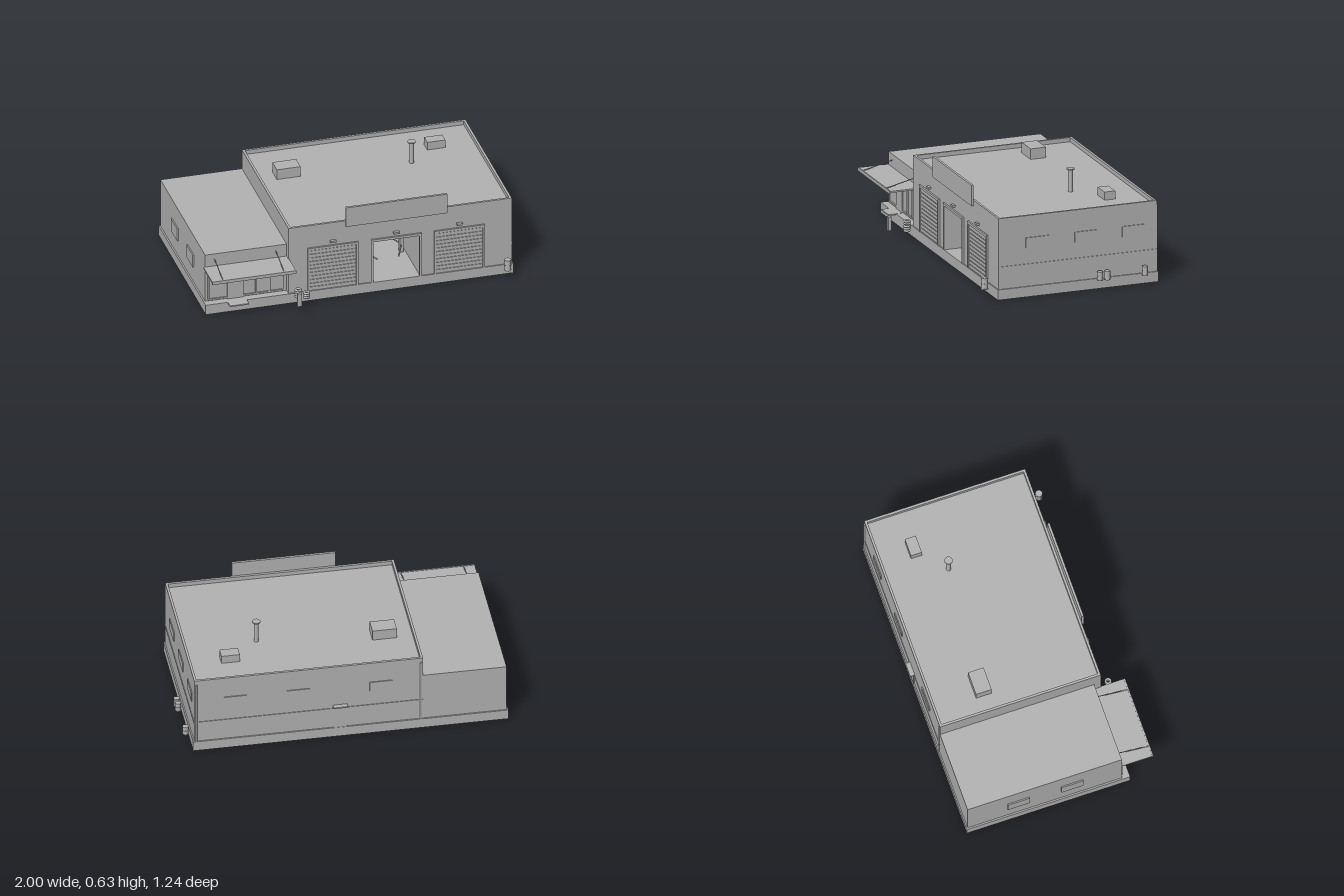
import * as THREE from 'three';

export function createModel() {
  const g = new THREE.Group();
  const grey = new THREE.MeshStandardMaterial({ color: 0xb3b3b3 });
  grey.name = 'plain grey';

  const add = (name, geo) => {
    const m = new THREE.Mesh(geo, grey);
    m.name = name;
    g.add(m);
    return m;
  };
  // box given by its limits on each axis
  const box = (name, x0, x1, y0, y1, z0, z1) => {
    const m = add(name, new THREE.BoxGeometry(x1 - x0, y1 - y0, z1 - z0));
    m.position.set((x0 + x1) / 2, (y0 + y1) / 2, (z0 + z1) / 2);
    return m;
  };
  const cyl = (name, x, z, r, y0, y1, n = 20) => {
    const m = add(name, new THREE.CylinderGeometry(r, r, y1 - y0, n));
    m.position.set(x, (y0 + y1) / 2, z);
    return m;
  };
  const bar = (name, a, b, r) => {
    const path = new THREE.LineCurve3(new THREE.Vector3(...a), new THREE.Vector3(...b));
    return add(name, new THREE.TubeGeometry(path, 1, r, 6));
  };

  // plinth
  box('plinth', -1, 0.945, 0, 0.065, -0.6, 0.45);

  // garage hall: solid sides around one open bay
  const L = -0.475, R = 0.937, back = -0.592, front = 0.443, roof = 0.488, top = 0.515;
  box('hallLeft', L, 0.055, 0.065, roof, back, front);
  box('hallRight', 0.355, R, 0.065, roof, back, front);
  box('hallBack', 0.055, 0.355, 0.065, roof, back, -0.35);
  box('hallAboveBay', 0.055, 0.355, 0.35, roof, -0.35, front);

  // parapet
  const t = 0.015;
  box('parapetFront', L, R, roof, top, front - t, front);
  box('parapetBack', L, R, roof, top, back, back + t);
  box('parapetLeft', L, L + t, roof, top, back + t, front - t);
  box('parapetRight', R - t, R, roof, top, back + t, front - t);

  // bay frames, lamps and roller doors
  [-0.195, 0.205, 0.605].forEach((x, i) => {
    const f = 0.014;
    box('bayFrameTop', x - 0.16, x + 0.16, 0.36 - f, 0.362, front, 0.454);
    for (const s of [-1, 1]) {
      const c = x + s * (0.16 - f / 2);
      box('bayFrameSide', c - f / 2, c + f / 2, 0.065, 0.36 - f, front, 0.454);
    }
    box('bayLamp', x - 0.018, x + 0.018, 0.384, 0.396, front, 0.462);
    if (i === 1) return;
    for (let k = 0; k < 11; k++) {
      const y = 0.07 + k * 0.025;
      box('doorSlat', x - 0.146, x + 0.146, y, y + 0.021, front, 0.447);
    }
  });

  // two-post lift in the open bay
  for (const s of [-1, 1]) {
    const x = 0.205 + s * 0.125;
    box('liftPost', x - 0.011, x + 0.011, 0.065, 0.32, 0.1, 0.13);
    for (const z of [-0.04, 0.27])
      bar('liftArm', [x, 0.115, 0.115], [x - s * 0.06, 0.115, z], 0.005);
  }
  box('liftCrossbar', 0.08, 0.33, 0.308, 0.325, 0.105, 0.125);

  // blank sign board
  box('signBoard', -0.115, 0.525, 0.48, 0.612, front, 0.458);

  // roof equipment
  box('largeRoofUnit', -0.36, -0.21, roof, 0.555, -0.32, -0.22);
  box('smallRoofUnit', 0.622, 0.736, roof, 0.54, -0.4, -0.33);
  cyl('ventPipe', 0.487, -0.205, 0.015, roof, 0.628);
  cyl('ventCap', 0.487, -0.205, 0.025, 0.628, 0.635);

  // trim, windows and downpipes on the hall
  box('rightTrim', R, R + 0.004, 0.2, 0.208, back, front);
  box('backTrim', L, R, 0.2, 0.208, back - 0.004, back);
  for (const z of [0.19, -0.13, -0.44])
    box('rightWindow', R, R + 0.006, 0.31, 0.375, z - 0.075, z + 0.075);
  for (const x of [0.685, 0.295, -0.215])
    box('backWindow', x - 0.07, x + 0.07, 0.31, 0.375, back - 0.006, back);
  for (const x of [-0.462, 0.925])
    cyl('downpipe', x, back - 0.002, 0.007, 0.065, 0.485, 10);
  box('backDoor', -0.002, 0.078, 0.065, 0.21, back - 0.006, back);
  box('backDoorHood', -0.008, 0.082, 0.222, 0.23, -0.622, back);

  // office wing
  box('office', -0.99, L, 0.065, 0.385, back, 0.4);
  box('officeDoor', -0.85, -0.75, 0.065, 0.22, 0.4, 0.409);
  box('windowSill', -0.97, -0.85, 0.07, 0.08, 0.4, 0.408);
  box('windowSill', -0.75, -0.5, 0.07, 0.08, 0.4, 0.408);
  box('windowHeader', -0.97, -0.5, 0.265, 0.275, 0.4, 0.408);
  for (const x of [-0.97, -0.67, -0.585, -0.5])
    box('mullion', x - 0.005, x + 0.005, 0.08, 0.265, 0.4, 0.408);
  for (const z of [-0.265, 0.08])
    box('officeSideWindow', -0.998, -0.99, 0.17, 0.255, z - 0.07, z + 0.07);
  box('doorMat', -0.86, -0.74, 0.058, 0.066, 0.41, 0.5);

  // awning with tie rods
  box('awning', -1, -0.47, 0.292, 0.302, 0.4, 0.6);
  box('awningEdge', -1, -0.47, 0.284, 0.305, 0.592, 0.6);
  for (const x of [-0.93, -0.543])
    bar('awningRod', [x, 0.347, 0.4], [x, 0.302, 0.59], 0.003);

  // drums with rims
  const drum = (x, z, h, r) => {
    cyl('drum', x, z, r, 0.062, 0.062 + h);
    for (const k of [0.06, 0.5, 0.94])
      cyl('drumRing', x, z, r + 0.0015, 0.062 + h * k - 0.002, 0.062 + h * k + 0.002);
  };
  drum(0.89, 0.515, 0.073, 0.021);
  drum(0.975, -0.5, 0.057, 0.018);
  drum(0.978, -0.253, 0.057, 0.018);
  drum(0.978, -0.205, 0.057, 0.018);

  // tyre stacks
  [[-0.43, 0.5, 4], [-0.383, 0.521, 3]].forEach(([x, z, n]) => {
    for (let i = 0; i < n; i++) {
      const m = add('tyre', new THREE.TorusGeometry(0.015, 0.0073, 8, 20));
      m.rotation.x = Math.PI / 2;
      m.position.set(x, 0.07 + i * 0.0146, z);
    }
  });

  // kerb post
  box('kerbPost', -0.467, -0.44, 0.062, 0.15, 0.6, 0.618);

  return g;
}
